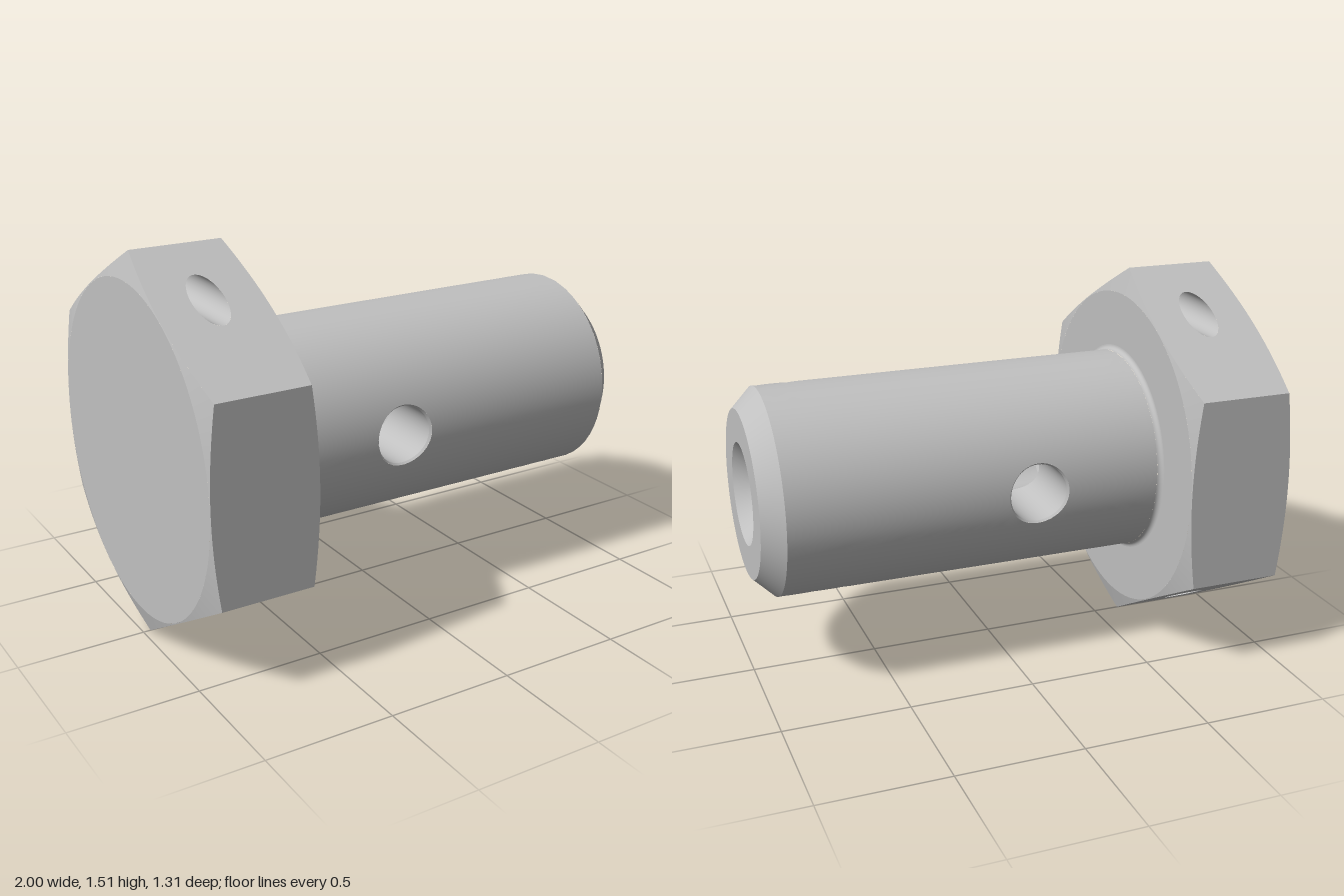
import * as THREE from 'three';
import { ParametricGeometry } from 'three/addons/geometries/ParametricGeometry.js';

const { lerp } = THREE.MathUtils;
const TAU = Math.PI * 2;

// Main dimensions; the bolt's axis lies along x
const HEX = 0.755, FLAT = HEX * Math.cos(Math.PI / 6);          // hexagon corner and flat radii
const HEAD0 = -1, HEAD1 = -0.578, MID = (HEAD0 + HEAD1) / 2, HALF = (HEAD1 - HEAD0) / 2;
const CAP = 0.65, SLOPE = 0.28;                                 // chamfer circle and steepness
const SHANK = 0.408, BORE = 0.122, FILLET = 0.02;
const CROSS_X = -0.06, CROSS = 0.115, CROSS_RIM = 0.122;        // cross hole
const WIRE_Y = 0.607, WIRE = 0.065;                             // small holes through the head

const chamferDrop = (r) => Math.max(0, r - CAP) * SLOPE;

// Surface between a hole outline and a rectangular border; dir 1 or -1 picks the facing
function holedPatch(dir, hole, border, place) {
  return new ParametricGeometry((u, v, p) => {
    const c = Math.cos(dir * TAU * u), s = Math.sin(dir * TAU * u);
    const m = Math.max(Math.abs(c), Math.abs(s));
    const a = hole(c, s), b = border(c / m, s / m);
    place(lerp(a[0], b[0], v), lerp(a[1], b[1], v), p);
  }, 96, 16);
}

// Half of a cylinder wall with the cross hole through it
function holedHalfCylinder(dir, R, holeR, x0, x1) {
  return holedPatch(dir,
    (c, s) => [CROSS_X + holeR * c, Math.asin(holeR * s / R)],
    (c, s) => [CROSS_X + c * (c > 0 ? x1 - CROSS_X : CROSS_X - x0), s * Math.PI / 2],
    (x, t, p) => p.set(x, R * Math.sin(t), R * Math.cos(t)));
}

// Wall of a hole running along z; ends give [radius, depth at height y]
function holeWall(x, y, outer, inner) {
  return new ParametricGeometry((u, v, p) => {
    const c = Math.cos(TAU * u), s = Math.sin(TAU * u);
    const r = lerp(outer.r, inner.r, v);
    p.set(x + r * c, y + r * s,
      lerp(outer.z(y + outer.r * s), inner.z(y + inner.r * s), v));
  }, 48, 2);
}

// Flat side of the hexagon, with curved ends where the chamfer cuts it
function hexSide(side) {
  const limit = (t) => HALF - chamferDrop(Math.hypot(FLAT, t));
  if (side === 0) {
    return new ParametricGeometry((u, v, p) => {
      const t = (v - 0.5) * HEX;
      p.set(MID + (2 * u - 1) * limit(t), t, FLAT);
    }, 2, 32);
  }
  const t0 = side * (WIRE_Y - HEX * 0.75) * 2;
  return holedPatch(-1,
    (c, s) => [MID + WIRE * c, t0 + 2 * WIRE * s],
    (c, s) => {
      const t = t0 + s * (HEX / 2 - Math.sign(s) * t0);
      return [MID + c * limit(t), t];
    },
    (x, t, p) => p.set(x, t, FLAT));
}

// Cone between the round cap and the hexagon outline
function hexChamfer(end, dir) {
  return new ParametricGeometry((u, v, p) => {
    const a = dir * TAU * u;
    const around = ((Math.abs(a) + Math.PI / 6) % (Math.PI / 3)) - Math.PI / 6;
    const r = lerp(CAP, FLAT / Math.cos(around), v);
    p.set(end - dir * chamferDrop(r), r * Math.sin(a), r * Math.cos(a));
  }, 144, 3);
}

// Revolve [radius, x] points round the x axis
function revolve(points) {
  return new THREE.LatheGeometry(points.map(([r, x]) => new THREE.Vector2(r, x)), 96)
    .rotateZ(-Math.PI / 2);
}

export function createModel() {
  const model = new THREE.Group();
  model.name = 'hollowBolt';
  const steel = new THREE.MeshStandardMaterial({ color: 0xc0c0c0 });
  steel.name = 'steel';
  const add = (parent, name, geometry) => {
    const mesh = new THREE.Mesh(geometry, steel);
    mesh.name = name;
    parent.add(mesh);
    return mesh;
  };

  // Round parts, each revolved alone so the edges between them stay sharp
  const fillet = [];
  for (let i = 0; i <= 8; i++) {
    const a = i / 8 * Math.PI / 2;
    fillet.push([SHANK + FILLET * (1 - Math.sin(a)), HEAD1 + FILLET * (1 - Math.cos(a))]);
  }
  const rounds = {
    headCap: [[0, HEAD0], [CAP, HEAD0]],
    headSeat: [[CAP, HEAD1], [SHANK + FILLET, HEAD1]],
    neckFillet: fillet,
    tipChamfer: [[SHANK, 0.92], [0.33, 1]],
    tipFace: [[0.33, 1], [0.2, 1]],
    countersink: [[0.2, 1], [BORE, 0.922]],
    boreBottom: [[BORE, -0.25], [0, -0.32]],
  };
  for (const [name, points] of Object.entries(rounds)) add(model, name, revolve(points));
  add(model, 'headChamferOuter', hexChamfer(HEAD0, -1));
  add(model, 'headChamferInner', hexChamfer(HEAD1, 1));

  // Front half of the pierced parts, repeated by a half turn about the axis
  const shankZ = (y) => Math.sqrt(SHANK * SHANK - y * y);
  const boreZ = (y) => Math.sqrt(BORE * BORE - y * y);
  const flatZ = (y) => (HEX - Math.abs(y)) * Math.sqrt(3);
  const rimEnd = { r: CROSS, z: (y) => shankZ(y) - 0.01 };
  const half = new THREE.Group();
  half.name = 'frontHalf';
  add(half, 'shank', holedHalfCylinder(-1, SHANK, CROSS_RIM, HEAD1 + FILLET, 0.92));
  add(half, 'bore', holedHalfCylinder(1, BORE, CROSS, -0.25, 0.922));
  add(half, 'crossHoleRim', holeWall(CROSS_X, 0, { r: CROSS_RIM, z: shankZ }, rimEnd));
  add(half, 'crossHole', holeWall(CROSS_X, 0, rimEnd, { r: CROSS, z: boreZ }));
  for (const side of [-1, 0, 1]) {
    add(half, 'headSide', hexSide(side)).rotation.x = -side * Math.PI / 3;
    if (side !== 0) {
      add(half, 'wireHole', holeWall(MID, side * WIRE_Y,
        { r: WIRE, z: flatZ }, { r: WIRE, z: () => 0 }));
    }
  }
  const back = half.clone();
  back.name = 'backHalf';
  back.rotation.x = Math.PI;
  model.add(half, back);

  // Stand the head's lower corner on the ground
  for (const part of model.children) part.position.y = HEX;
  return model;
}
